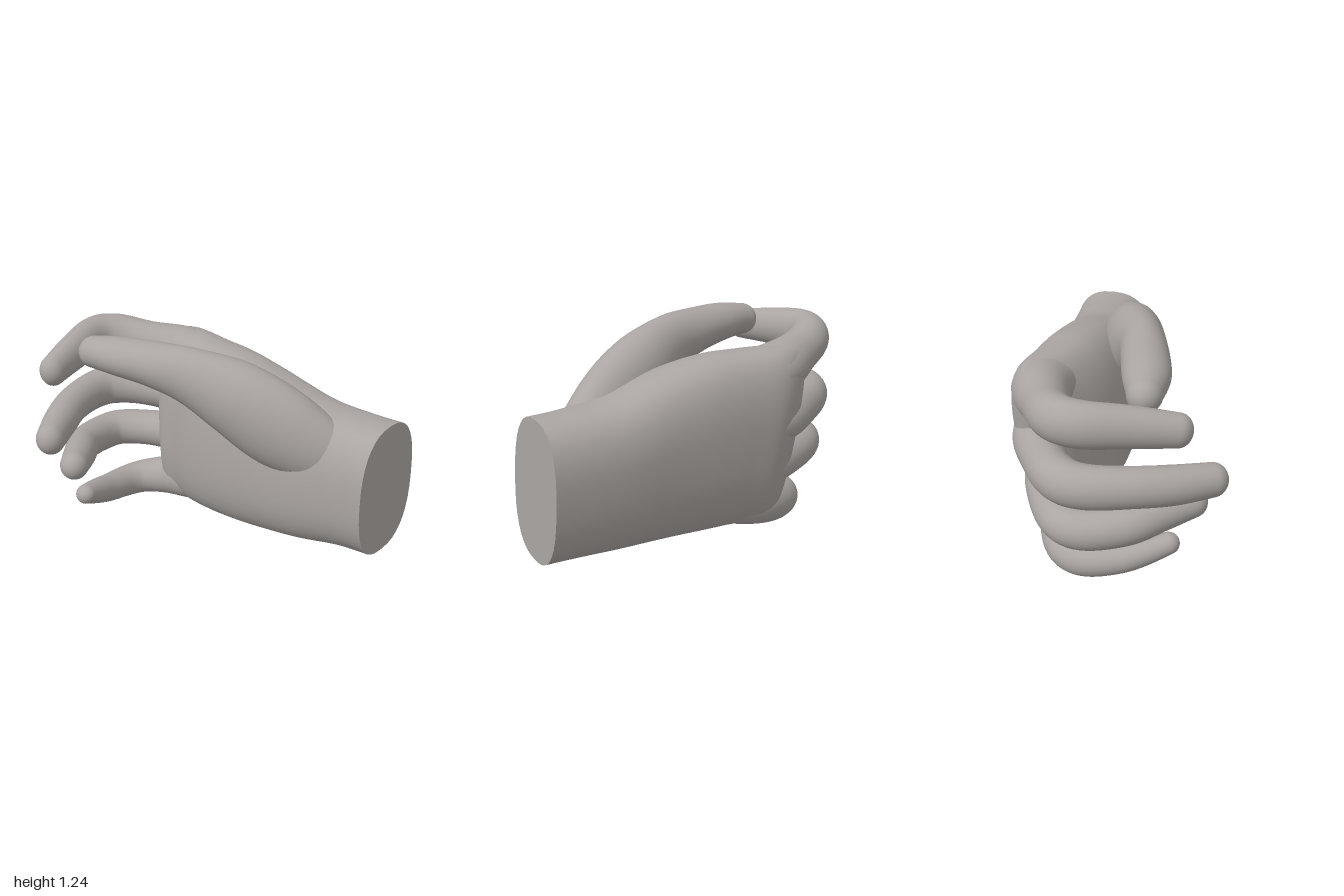
import * as THREE from 'three';

const SIDES = 36;

// Smooth interpolation through rows of numbers, t from 0 to 1
function sample(rows, t) {
  const n = rows.length - 1;
  const i = Math.min(Math.floor(t * n), n - 1);
  const f = t * n - i;
  const [a, b, c, d] = [i - 1, i, i + 1, i + 2].map(k => rows[THREE.MathUtils.clamp(k, 0, n)]);
  return b.map((p, k) => {
    const m0 = (c[k] - a[k]) / 2, m1 = (d[k] - p) / 2, e = c[k] - p;
    return p + f * (m0 + f * (3 * e - 2 * m0 - m1 + f * (m0 + m1 - 2 * e)));
  });
}

// Skin a list of rings; the start cap has its own vertices, the end closes smoothly
function loft(rings) {
  const pos = [], index = [];
  const add = p => pos.push(p.x, p.y, p.z) / 3 - 1;
  const middle = ring => ring.reduce((s, p) => s.add(p), new THREE.Vector3()).divideScalar(ring.length);
  rings.forEach(ring => ring.forEach(add));
  for (let i = 0; i < rings.length - 1; i++) {
    for (let j = 0; j < SIDES; j++) {
      const a = i * SIDES + j, b = i * SIDES + (j + 1) % SIDES;
      index.push(a, a + SIDES, b, b, a + SIDES, b + SIDES);
    }
  }
  const last = (rings.length - 1) * SIDES;
  const tip = add(middle(rings[rings.length - 1]));
  const cap = rings[0].map(add), centre = add(middle(rings[0]));
  for (let j = 0; j < SIDES; j++) {
    const k = (j + 1) % SIDES;
    index.push(last + j, tip, last + k, cap[j], cap[k], centre);
  }
  const geo = new THREE.BufferGeometry();
  geo.setAttribute('position', new THREE.Float32BufferAttribute(pos, 3));
  geo.setIndex(index);
  geo.computeVertexNormals();
  return geo;
}

// Round-tipped digit; rows are x, y, z, radius across, radius up
function digit(rows, steps = 40) {
  const up0 = new THREE.Vector3(0, 1, 0);
  const point = t => new THREE.Vector3(...sample(rows, t).slice(0, 3));
  const rings = [];
  const ring = (t, slide, scale) => {
    const [x, y, z, ra, ru] = sample(rows, t);
    const dir = point(Math.min(t + 0.01, 1)).sub(point(Math.max(t - 0.01, 0))).normalize();
    const side = dir.clone().cross(up0).normalize();
    const up = side.clone().cross(dir);
    rings.push(Array.from({ length: SIDES }, (_, j) => {
      const a = j / SIDES * Math.PI * 2;
      return new THREE.Vector3(x, y, z)
        .addScaledVector(dir, slide * ra)
        .addScaledVector(side, Math.cos(a) * ra * scale)
        .addScaledVector(up, Math.sin(a) * ru * scale);
    }));
  };
  for (let i = 0; i <= steps; i++) ring(i / steps, 0, 1);
  for (let i = 1; i < 9; i++) ring(1, Math.sin(i / 9 * Math.PI / 2), Math.cos(i / 9 * Math.PI / 2));
  return loft(rings);
}

// Wrist and palm; rows are z, centre x, centre y, half width, half height, lean in x, tilt in z
function palm(rows, steps = 60) {
  const power = v => Math.sign(v) * Math.abs(v) ** 0.8;
  const rings = [];
  for (let i = 0; i <= steps; i++) {
    const [z, cx, cy, hx, hy, lean, tilt] = sample(rows, i / steps);
    rings.push(Array.from({ length: SIDES }, (_, j) => {
      const a = j / SIDES * Math.PI * 2;
      const u = power(Math.cos(a)), v = power(Math.sin(a));
      return new THREE.Vector3(cx + hx * u + lean * v, cy + hy * v, z - tilt * v);
    }));
  }
  return loft(rings);
}

export function createModel() {
  const model = new THREE.Group();
  model.name = 'hand';
  const skin = new THREE.MeshStandardMaterial({ color: 0xaaa5a2 });
  skin.name = 'warm grey';

  const add = (name, geometry) => {
    const mesh = new THREE.Mesh(geometry, skin);
    mesh.name = name;
    model.add(mesh);
  };

  add('wristAndPalm', palm([
    [0.985, 0.38, 0.555, 0.265, 0.375, 0.01, 0.015],
    [0.8, 0.365, 0.55, 0.26, 0.385, 0.01, 0.01],
    [0.55, 0.33, 0.545, 0.27, 0.415, 0.02, 0],
    [0.25, 0.305, 0.575, 0.265, 0.475, 0.03, 0],
    [0, 0.305, 0.59, 0.255, 0.51, 0.04, 0],
    [-0.2, 0.32, 0.59, 0.235, 0.52, 0.05, 0.01],
    [-0.38, 0.35, 0.585, 0.2, 0.53, 0.06, 0.03],
    [-0.5, 0.345, 0.58, 0.155, 0.52, 0.06, 0.04],
    [-0.56, 0.335, 0.58, 0.1, 0.49, 0.05, 0.05],
    [-0.585, 0.325, 0.58, 0.02, 0.44, 0.04, 0.05],
  ]));

  // Thumb with the fleshy mound at its root
  add('thumb', digit([
    [0.3, 0.66, 0.78, 0.1, 0.14],
    [0.22, 0.74, 0.62, 0.14, 0.2],
    [0.13, 0.85, 0.42, 0.165, 0.24],
    [0.04, 0.98, 0.2, 0.165, 0.22],
    [-0.06, 1.075, -0.03, 0.13, 0.165],
    [-0.13, 1.11, -0.25, 0.13, 0.128],
    [-0.19, 1.12, -0.46, 0.125, 0.108],
    [-0.22, 1.11, -0.62, 0.092, 0.092],
  ]));

  add('indexFinger', digit([
    [0.33, 0.9, -0.1, 0.15, 0.13],
    [0.385, 0.96, -0.4, 0.165, 0.155],
    [0.275, 1.01, -0.67, 0.125, 0.125],
    [0.165, 1.05, -0.84, 0.115, 0.122],
    [0.02, 1.06, -0.89, 0.1, 0.122],
    [-0.2, 1.045, -0.83, 0.09, 0.11],
    [-0.42, 1.02, -0.76, 0.075, 0.09],
  ]));

  add('middleFinger', digit([
    [0.35, 0.68, -0.1, 0.16, 0.12],
    [0.4, 0.69, -0.42, 0.155, 0.14],
    [0.285, 0.7, -0.7, 0.12, 0.12],
    [0.15, 0.71, -0.86, 0.115, 0.12],
    [0, 0.71, -0.895, 0.105, 0.117],
    [-0.22, 0.71, -0.84, 0.1, 0.108],
    [-0.4, 0.695, -0.75, 0.098, 0.104],
    [-0.575, 0.685, -0.64, 0.083, 0.092],
  ]));

  add('ringFinger', digit([
    [0.34, 0.45, -0.1, 0.16, 0.12],
    [0.37, 0.43, -0.38, 0.145, 0.13],
    [0.285, 0.42, -0.65, 0.115, 0.112],
    [0.16, 0.42, -0.82, 0.11, 0.11],
    [0.02, 0.42, -0.855, 0.105, 0.11],
    [-0.18, 0.445, -0.8, 0.1, 0.105],
    [-0.32, 0.47, -0.69, 0.096, 0.1],
    [-0.465, 0.49, -0.58, 0.083, 0.085],
  ]));

  add('littleFinger', digit([
    [0.28, 0.24, -0.05, 0.15, 0.12],
    [0.295, 0.17, -0.35, 0.145, 0.13],
    [0.27, 0.125, -0.54, 0.115, 0.12],
    [0.19, 0.105, -0.66, 0.105, 0.105],
    [0.07, 0.105, -0.705, 0.095, 0.098],
    [-0.1, 0.135, -0.69, 0.085, 0.087],
    [-0.23, 0.18, -0.66, 0.076, 0.077],
    [-0.355, 0.23, -0.62, 0.06, 0.06],
  ]));

  return model;
}
